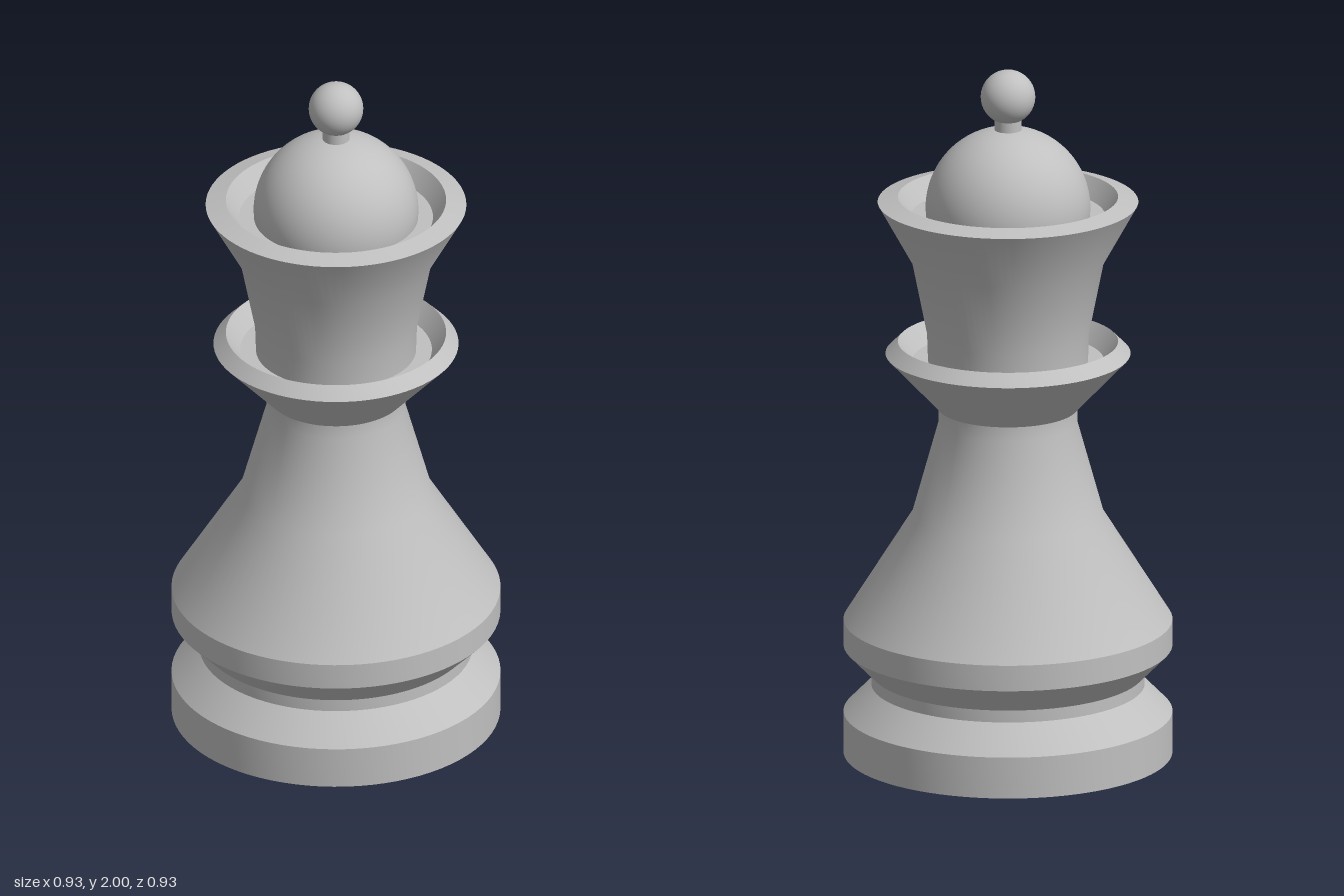
import * as THREE from 'three';
import { toCreasedNormals } from 'three/addons/utils/BufferGeometryUtils.js';

const SEGMENTS = 80;

export function createModel() {
  const group = new THREE.Group();
  group.name = 'chessQueen';
  const grey = new THREE.MeshStandardMaterial({ color: 0xc0c0c0 });
  grey.name = 'plain grey';

  const add = (name, geometry, y = 0) => {
    const mesh = new THREE.Mesh(geometry, grey);
    mesh.name = name;
    mesh.position.y = y;
    group.add(mesh);
  };

  // Turn a [radius, height] profile, keeping only the strong edges sharp
  const turn = (name, profile) => {
    const points = profile.map(([r, y]) => new THREE.Vector2(r, y));
    add(name, toCreasedNormals(new THREE.LatheGeometry(points, SEGMENTS), 0.48));
  };

  // Foot with a waisted groove
  turn('base', [
    [0, 0], [0.463, 0], [0.463, 0.12], [0.385, 0.2], [0.385, 0.235],
  ]);

  // Lower ring flaring into the tapering body
  turn('body', [
    [0.385, 0.235], [0.463, 0.315], [0.463, 0.39],
    [0.27, 0.7], [0.195, 0.97], [0.195, 1.015],
  ]);

  // Dished collar
  turn('collar', [
    [0.195, 1.01], [0.345, 1.17], [0.31, 1.205], [0.27, 1.15], [0.2, 1.15],
  ]);

  // Flared crown with a recessed top
  turn('crown', [
    [0.225, 1.14], [0.228, 1.23], [0.27, 1.44], [0.367, 1.615],
    [0.31, 1.63], [0.273, 1.575], [0, 1.575],
  ]);

  // Dome, stem and finial ball
  add('dome', new THREE.SphereGeometry(0.232, SEGMENTS, 24, 0, Math.PI * 2, 0, Math.PI * 0.55), 1.598);
  add('finialStem', new THREE.CylinderGeometry(0.038, 0.038, 0.08, 40), 1.845);
  add('finialBall', new THREE.SphereGeometry(0.077, 40, 28), 1.923);

  return group;
}
